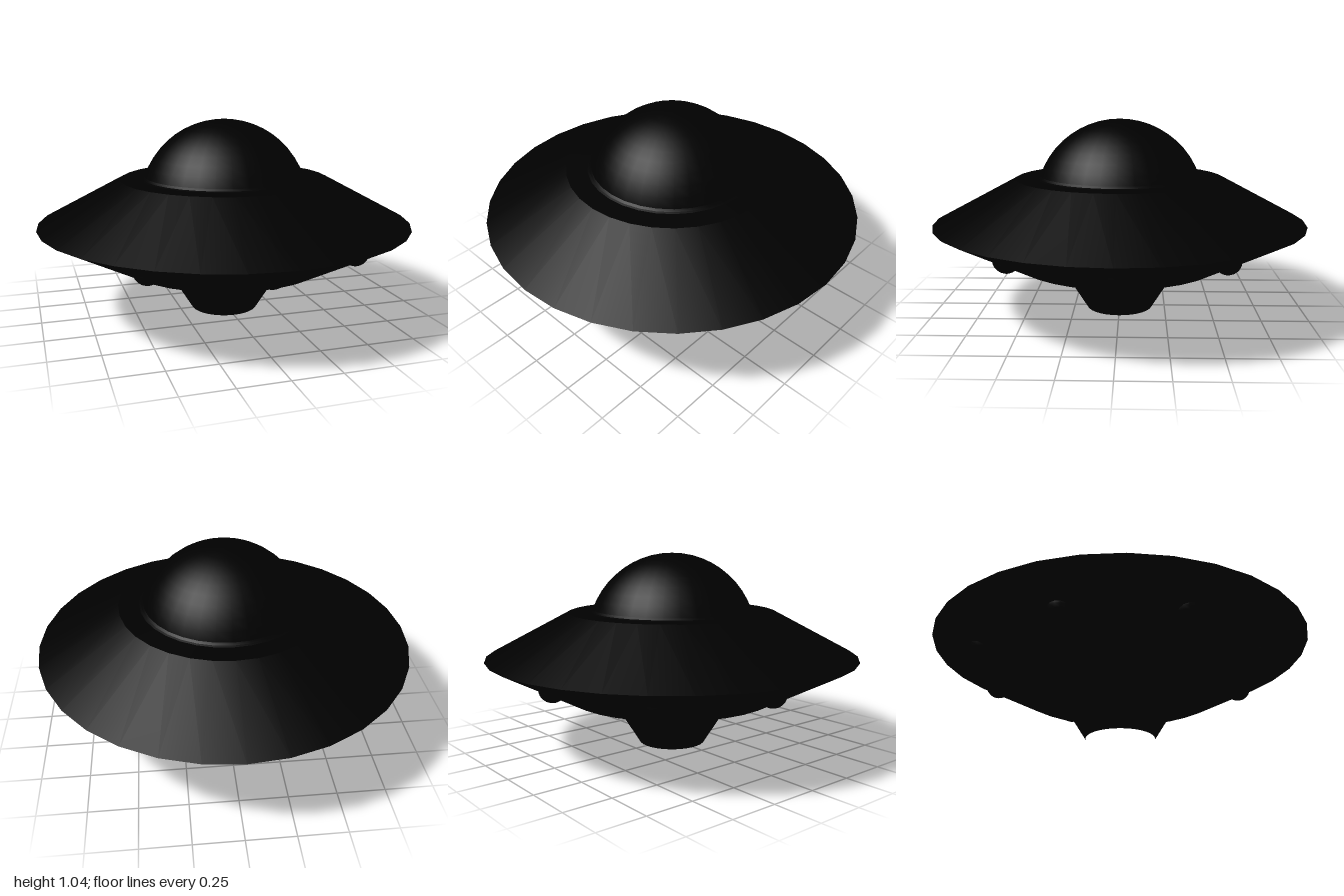
import * as THREE from 'three';
import { toCreasedNormals } from 'three/addons/utils/BufferGeometryUtils.js';

const SIDES = 32;
const material = new THREE.MeshStandardMaterial({ color: 0x000000 });

function add(group, name, geometry) {
  const mesh = new THREE.Mesh(geometry, material);
  mesh.name = name;
  group.add(mesh);
  return mesh;
}

// Turned body with sharp edges between its bands
function turned(points) {
  const profile = points.map(([r, y]) => new THREE.Vector2(r, y));
  return toCreasedNormals(new THREE.LatheGeometry(profile, SIDES), 0.4);
}

export function createModel() {
  const saucer = new THREE.Group();
  saucer.name = 'flyingSaucer';

  // Disc hull: flat plates joined by two slopes meeting at a sharp rim
  add(saucer, 'hull', turned([[0, 0.26], [0.56, 0.26], [1, 0.492], [0.56, 0.726], [0, 0.726]]));

  // Cockpit dome, sunk slightly into the hull
  const dome = add(saucer, 'dome', new THREE.SphereGeometry(0.457, SIDES, 16, 0, Math.PI * 2, 0, Math.PI * 0.625));
  dome.position.y = 0.583;

  // Narrow collar where the dome meets the upper plate
  add(saucer, 'domeCollar', turned([[0.45, 0.726], [0.44, 0.73], [0.43, 0.74]]));

  // Open thruster tapering towards the ground
  add(saucer, 'thruster', new THREE.CylinderGeometry(0.345, 0.18, 0.265, SIDES, 1, true)).position.y = 0.1325;

  // Ring of round lamps under the rim
  const lamp = new THREE.SphereGeometry(0.07, 16, 12);
  for (let i = 0; i < 8; i++) {
    const a = (i / 8) * Math.PI * 2;
    add(saucer, 'lamp' + (i + 1), lamp).position.set(0.748 * Math.cos(a), 0.402, 0.748 * Math.sin(a));
  }
  return saucer;
}
